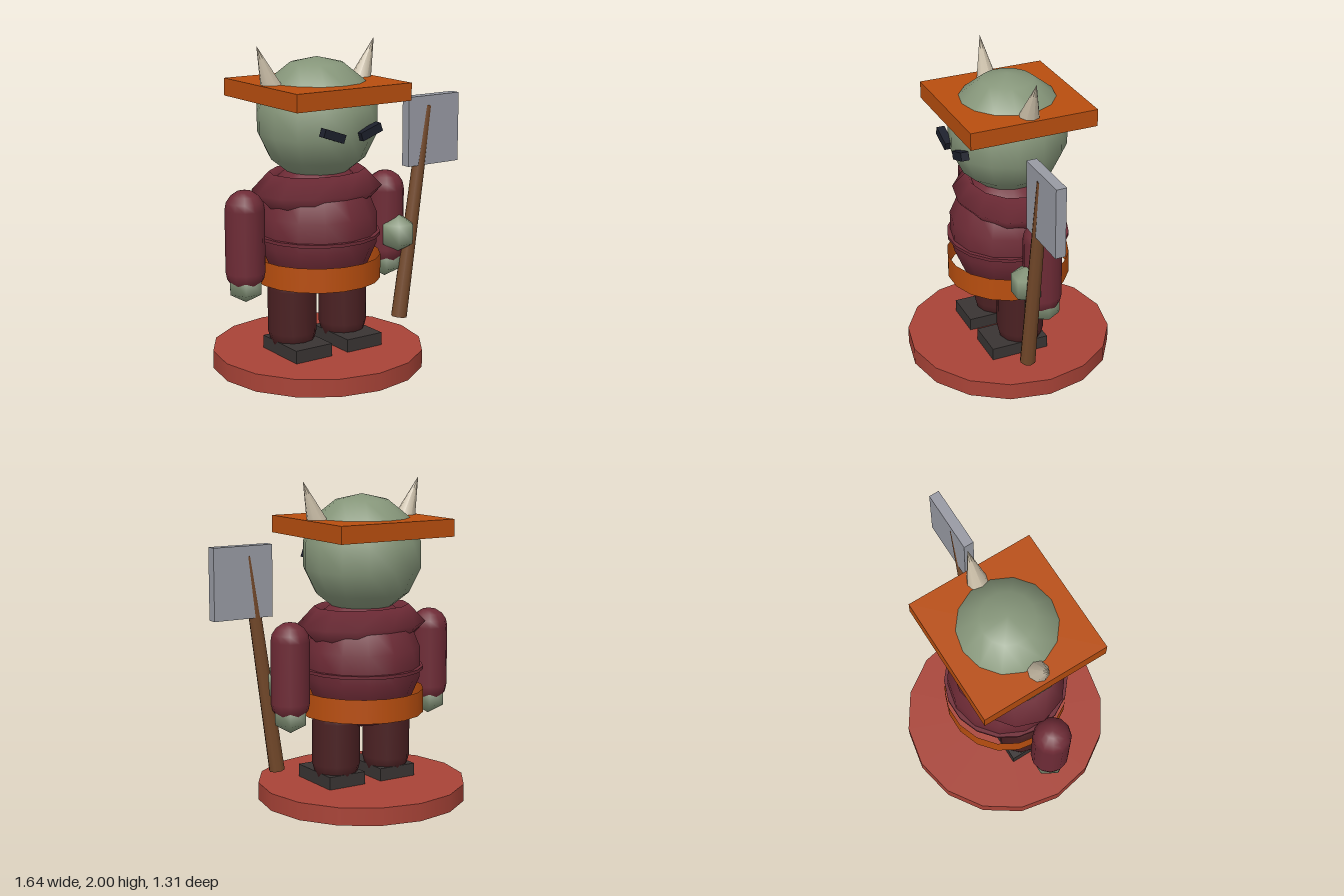
import * as THREE from 'three';

const mat = (name, color, side = THREE.FrontSide) => {
  const m = new THREE.MeshStandardMaterial({ color, side });
  m.name = name;
  return m;
};

export function createModel() {
  const skin = mat('skin green', 0x86967a);
  const cloth = mat('burgundy cloth', 0x6e2b36);
  const trousers = mat('dark red trousers', 0x4a2022);
  const orange = mat('orange', 0xb84e0f, THREE.DoubleSide);
  const clay = mat('red clay', 0xa84337);
  const shoeMat = mat('charcoal', 0x393433);
  const bone = mat('bone', 0xc6baa4);
  const wood = mat('wood', 0x74492a);
  const metal = mat('metal', 0x989aa3);
  const ink = mat('ink', 0x1c1f2b);

  const model = new THREE.Group();
  model.name = 'hornedWarrior';
  // the body stands off-centre because the weapon reaches out to one side
  const body = new THREE.Group();
  body.name = 'body';
  body.position.x = -0.165;
  model.add(body);

  const add = (parent, name, geometry, material, x, y, z) => {
    const mesh = new THREE.Mesh(geometry, material);
    mesh.name = name;
    mesh.position.set(x, y, z);
    parent.add(mesh);
    return mesh;
  };

  // round stand
  add(body, 'stand', new THREE.CylinderGeometry(0.655, 0.655, 0.11, 16), clay, 0, 0.055, 0);

  // torso with hem ring, belt and collar
  const ball = new THREE.SphereGeometry(0.374, 14, 7).rotateY(Math.PI / 2);
  add(body, 'torso', ball, cloth, 0, 0.87, 0).scale.y = 1.137;
  add(body, 'hemRing', new THREE.CylinderGeometry(0.386, 0.386, 0.02, 18).rotateY(Math.PI / 2),
    cloth, 0, 0.835, 0);
  add(body, 'belt', new THREE.CylinderGeometry(0.388, 0.388, 0.15, 18, 1, true).rotateY(Math.PI / 2),
    orange, 0, 0.627, 0);
  const collar = new THREE.TorusGeometry(0.312, 0.113, 4, 12).rotateX(Math.PI / 2);
  add(body, 'collar', collar, cloth, 0, 1.11, 0).scale.z = 0.78;

  // head and square hat brim
  add(body, 'head', ball, skin, 0, 1.537, 0);
  add(body, 'hatBrim', new THREE.BoxGeometry(0.81, 0.107, 0.81), orange, 0, 1.712, 0);

  // mirrored parts
  const handGeo = new THREE.SphereGeometry(0.124, 6, 3);
  const legGeo = new THREE.CapsuleGeometry(0.15, 0.27, 3, 12);
  const armGeo = new THREE.CapsuleGeometry(0.119, 0.38, 4, 12);
  const shoeGeo = new THREE.BoxGeometry(0.257, 0.08, 0.375);
  const eyeGeo = new THREE.BoxGeometry(0.15, 0.052, 0.05);
  const hornGeo = new THREE.ConeGeometry(0.076, 0.31, 8);
  for (const [side, s] of [['left', 1], ['right', -1]]) {
    add(body, side + 'Leg', legGeo, trousers, s * 0.187, 0.375, 0);
    add(body, side + 'Shoe', shoeGeo, shoeMat, s * 0.187, 0.15, 0.055);
    add(body, side + 'Arm', armGeo, cloth, s * 0.515, 0.85, 0);
    add(body, side + 'Hand', handGeo, skin, s * 0.515, 0.595, 0);
    add(body, side + 'Eye', eyeGeo, ink, s * 0.131, 1.495, 0.36).rotation.z = s * 0.34;
    add(body, side + 'Horn', hornGeo, bone, s * 0.363, 1.856, 0).rotation.z = -s * 0.377;
  }

  // long weapon with its gripping hand
  add(model, 'grippingHand', handGeo, skin, 0.372, 0.77, 0.1);
  add(model, 'handle', new THREE.CylinderGeometry(0.037, 0.05, 1.36, 8), wood,
    0.484, 0.892, 0.11).rotation.z = -0.145;
  add(model, 'blade', new THREE.BoxGeometry(0.393, 0.437, 0.065), metal, 0.622, 1.409, 0.108);

  return model;
}
